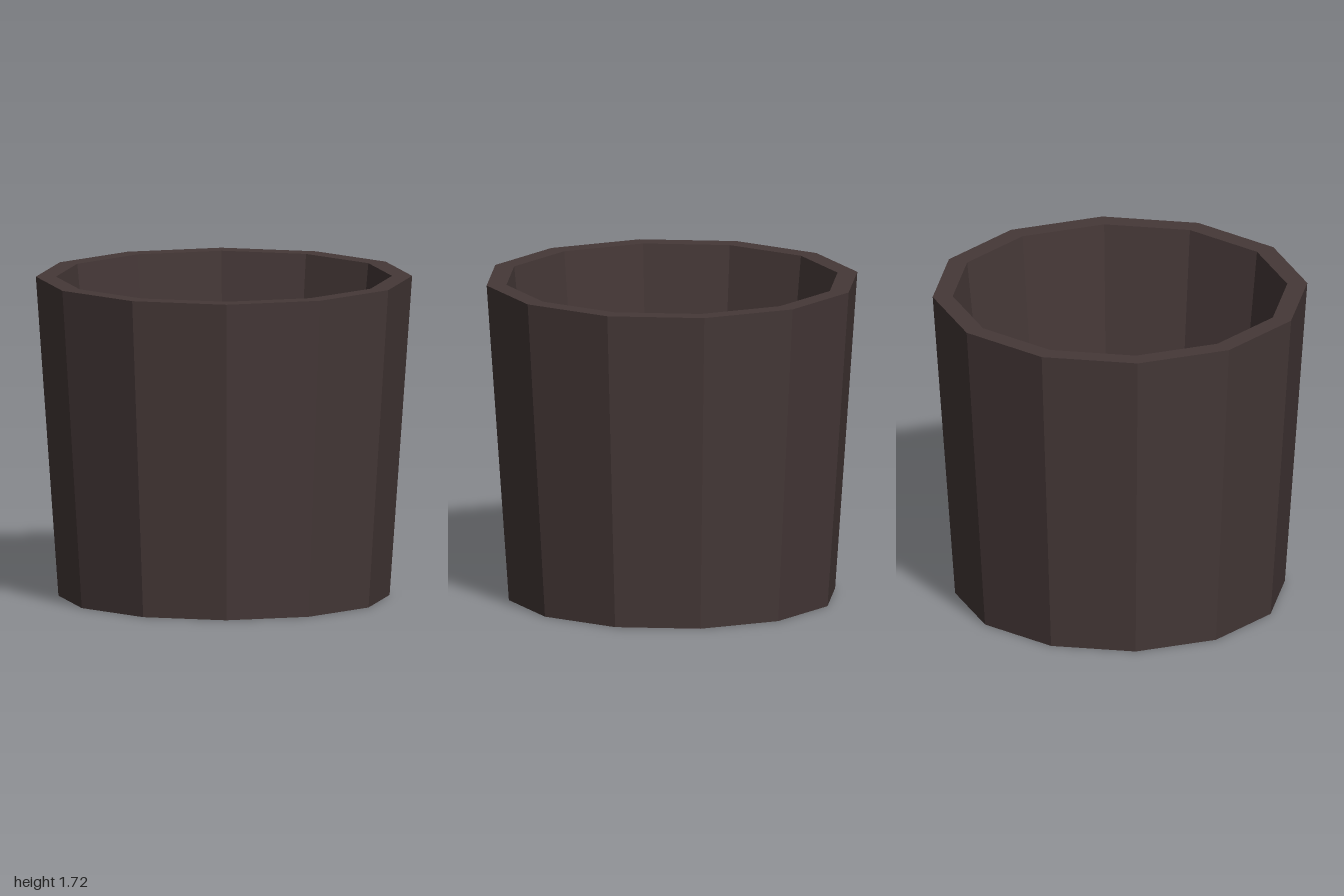
import * as THREE from 'three';

const SIDES = 12;

export function createModel() {
  const model = new THREE.Group();
  model.name = 'pot';

  const clay = new THREE.MeshStandardMaterial({ color: 0x453837 });
  clay.name = 'dark brown clay';
  clay.flatShading = true;

  // Revolve a profile of [radius, height] points; bottom to top faces outward
  const ring = (name, profile) => {
    const points = profile.map(([r, y]) => new THREE.Vector2(r, y));
    const mesh = new THREE.Mesh(new THREE.LatheGeometry(points, SIDES), clay);
    mesh.name = name;
    model.add(mesh);
  };

  // Tapered outside wall
  ring('outerWall', [[0.88, 0], [1, 1.715]]);
  // Flat lip around the opening
  ring('rim', [[1, 1.715], [0.893, 1.715]]);
  // Inside wall, tapering more steeply down to the floor
  ring('innerWall', [[0.893, 1.715], [0.727, 0.1]]);
  ring('floor', [[0.727, 0.1], [0, 0.1]]);
  // Underside: a foot disc with a shallow groove between it and the wall
  ring('foot', [[0, 0], [0.795, 0], [0.795, 0.05]]);
  ring('footGroove', [[0.795, 0.05], [0.883, 0.05], [0.88, 0]]);

  return model;
}
